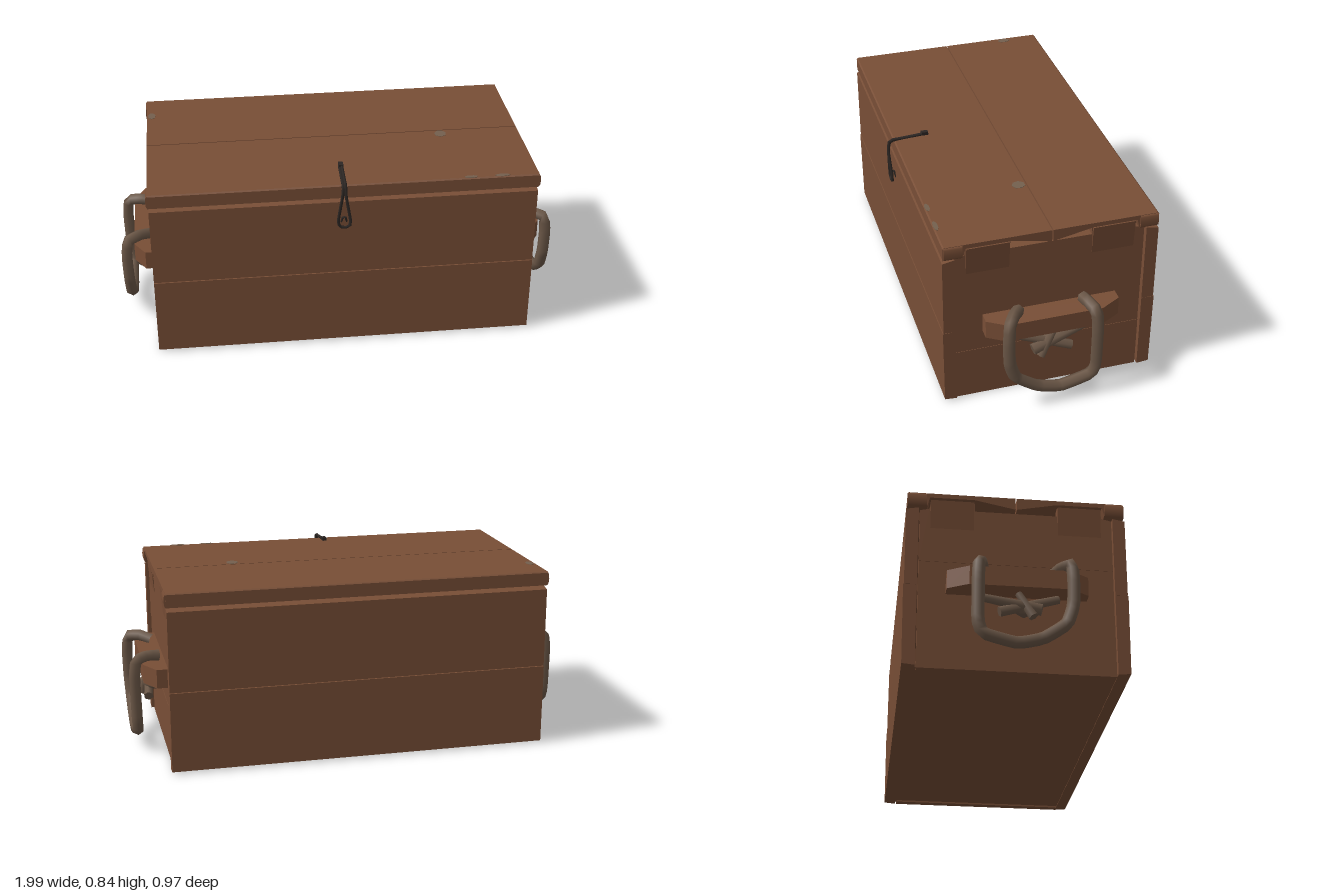
import * as THREE from 'three';

const wood = new THREE.MeshStandardMaterial({ color: 0x784e36 });
wood.name = 'brown wood';
const rope = new THREE.MeshStandardMaterial({ color: 0x6b5747 });
rope.name = 'grey rope';
const wire = new THREE.MeshStandardMaterial({ color: 0x2d2724 });
wire.name = 'dark wire';
const worn = new THREE.MeshStandardMaterial({ color: 0x74604e });
worn.name = 'worn patch';

const V = (p) => new THREE.Vector3(...p);

function add(parent, name, geometry, material) {
  const mesh = new THREE.Mesh(geometry, material);
  mesh.name = name;
  parent.add(mesh);
  return mesh;
}

// Extrude a [z, y] outline along x, centred on cx.
function extrudeX(points, width, cx = 0) {
  const shape = new THREE.Shape(points.map(([z, y]) => new THREE.Vector2(z, y)));
  const g = new THREE.ExtrudeGeometry(shape, { depth: width, bevelEnabled: false });
  return g.translate(0, 0, -width / 2).rotateY(-Math.PI / 2).translate(cx, 0, 0);
}

function box(x0, x1, y0, y1, z0, z1) {
  return new THREE.BoxGeometry(x1 - x0, y1 - y0, z1 - z0)
    .translate((x0 + x1) / 2, (y0 + y1) / 2, (z0 + z1) / 2);
}

function tube(points, radius, sides, segments) {
  const curve = new THREE.CatmullRomCurve3(points.map(V), false, 'catmullrom', 0.2);
  return new THREE.TubeGeometry(curve, segments, radius, sides);
}

// Capped straight strand between two points.
function strand(a, b, r0, r1) {
  const d = V(b).sub(V(a));
  const g = new THREE.CylinderGeometry(r1, r0, d.length(), 6);
  g.applyQuaternion(new THREE.Quaternion().setFromUnitVectors(new THREE.Vector3(0, 1, 0), d.clone().normalize()));
  return g.translate(...V(a).addScaledVector(d, 0.5).toArray());
}

// One end of the chest (the +x end): planks, battens, cleat, rope handle.
function buildEnd() {
  const end = new THREE.Group();

  // Three planks, the top one rising into two tabs under the lid
  add(end, 'lowerEndPlank', box(0.8, 0.836, 0, 0.245, -0.425, 0.397), wood);
  add(end, 'middleEndPlank', box(0.8, 0.834, 0.245, 0.49, -0.425, 0.397), wood);
  add(end, 'upperEndPlank', extrudeX([
    [-0.425, 0.49], [0.397, 0.49], [0.397, 0.735], [0.355, 0.745], [0.35, 0.782], [0.162, 0.782],
    [0.162, 0.744], [-0.192, 0.744], [-0.192, 0.782], [-0.38, 0.782], [-0.385, 0.745], [-0.425, 0.735],
  ], 0.036, 0.818), wood);

  // Tapered battens
  for (const [z0, z1] of [[0.165, 0.35], [-0.38, -0.195]]) {
    const s = new THREE.Shape([[0.83, 0.585], [0.848, 0.782], [0.83, 0.782]].map((p) => new THREE.Vector2(...p)));
    const g = new THREE.ExtrudeGeometry(s, { depth: z1 - z0, bevelEnabled: false });
    add(end, 'batten', g.translate(0, 0, z0), wood);
  }

  // Cleat with chamfered ends
  const cleat = new THREE.Shape([[0.83, -0.28], [0.885, -0.28], [0.935, -0.2], [0.935, 0.22], [0.885, 0.31], [0.83, 0.31]]
    .map((p) => new THREE.Vector2(...p)));
  const cg = new THREE.ExtrudeGeometry(cleat, { depth: 0.085, bevelEnabled: false });
  add(end, 'cleat', cg.rotateX(-Math.PI / 2).translate(0, 0.34, 0), wood);

  // Hanging rope loop
  add(end, 'ropeHandle', tube([
    [0.86, 0.435, 0.13], [0.91, 0.45, 0.165], [0.962, 0.44, 0.198], [0.972, 0.37, 0.203], [0.97, 0.25, 0.2],
    [0.966, 0.165, 0.172], [0.965, 0.095, 0.075], [0.965, 0.07, -0.03], [0.965, 0.105, -0.165],
    [0.968, 0.16, -0.188], [0.972, 0.36, -0.188], [0.962, 0.435, -0.183], [0.91, 0.45, -0.165], [0.86, 0.445, -0.155],
  ], 0.027, 6, 40), rope);

  // Knot below the cleat
  add(end, 'knotStrand', strand([0.875, 0.32, 0.155], [0.905, 0.235, -0.095], 0.018, 0.022), rope);
  add(end, 'knotStrand', strand([0.91, 0.25, 0.08], [0.875, 0.315, -0.175], 0.027, 0.018), rope);
  add(end, 'knotStrand', strand([0.915, 0.215, 0.045], [0.9, 0.325, -0.015], 0.022, 0.016), rope);
  const lump = new THREE.IcosahedronGeometry(0.045, 0).scale(0.9, 0.8, 1.1).translate(0.88, 0.265, 0.01);
  add(end, 'knot', lump, rope);
  return end;
}

export function createModel() {
  const chest = new THREE.Group();
  chest.name = 'chest';

  // Front and back walls, two planks each
  const wall = (name, inner, outer) => {
    const flip = outer < inner;
    const mid = outer + (flip ? -0.003 : 0.003);
    const planks = {
      lower: [[inner, 0.005], [outer, 0.01], [mid, 0.37], [inner, 0.37]],
      upper: [[inner, 0.37], [outer, 0.372], [outer, 0.73], [inner, 0.74]],
    };
    for (const key in planks) add(chest, `${name} ${key} plank`, extrudeX(planks[key], 1.7), wood);
  };
  wall('front', 0.4, 0.453);
  wall('back', -0.43, -0.484);

  add(chest, 'floor', box(-0.82, 0.82, 0.008, 0.035, -0.43, 0.4), wood);

  // Both ends
  for (const side of [1, -1]) {
    const end = buildEnd();
    end.name = side > 0 ? 'leftEnd' : 'rightEnd';
    end.scale.x = side;
    chest.add(end);
  }

  // Lid: two boards with a rail along the outer edge and a wedge at the seam
  const lid = new THREE.Group();
  lid.name = 'lid';
  chest.add(lid);
  add(lid, 'frontLidBoard', extrudeX([
    [0.45, 0.748], [0.45, 0.805], [0.444, 0.81], [-0.013, 0.81], [-0.013, 0.755], [0.16, 0.79], [0.355, 0.79], [0.365, 0.75],
  ], 1.706), wood);
  add(lid, 'backLidBoard', extrudeX([
    [-0.48, 0.748], [-0.48, 0.805], [-0.474, 0.81], [-0.018, 0.81], [-0.018, 0.755], [-0.192, 0.79], [-0.385, 0.79], [-0.395, 0.75],
  ], 1.706), wood);

  // Rounded rail ends
  for (const x of [-0.853, 0.853]) {
    for (const z of [0.408, -0.438]) {
      const g = new THREE.CylinderGeometry(0.03, 0.03, 0.08, 8).scale(0.25, 1, 1).rotateX(Math.PI / 2);
      add(lid, 'railEnd', g.translate(x, 0.778, z), wood);
    }
  }

  // Worn spots on the lid: x, z, half width, half depth
  for (const [x, z, w, d] of [[0.49, 0.02, 0.028, 0.03], [0.55, 0.438, 0.03, 0.011], [0.69, 0.438, 0.035, 0.011], [-0.83, -0.31, 0.018, 0.03]]) {
    const g = new THREE.CylinderGeometry(1, 1, 0.002, 7).scale(w, 1, d);
    add(lid, 'wornSpot', g.translate(x, 0.811, z), worn);
  }

  // Wire latch: a doubled strand over the lid edge, hanging in a teardrop
  add(chest, 'wireLatch', tube([
    [-0.012, 0.828, 0.3], [-0.014, 0.82, 0.42], [-0.014, 0.812, 0.468], [-0.018, 0.77, 0.477], [-0.036, 0.65, 0.472],
    [-0.03, 0.618, 0.471], [-0.008, 0.612, 0.471], [0.014, 0.618, 0.471], [0.018, 0.65, 0.472], [-0.002, 0.77, 0.48],
    [-0.004, 0.822, 0.472], [-0.004, 0.826, 0.42], [-0.002, 0.835, 0.3],
  ], 0.007, 5, 40), wire);
  add(chest, 'wireStaple', tube([
    [-0.02, 0.63, 0.45], [-0.014, 0.655, 0.458], [-0.002, 0.655, 0.458], [0.004, 0.63, 0.45],
  ], 0.005, 5, 10), wire);
  add(chest, 'wireTip', box(-0.016, 0.004, 0.828, 0.843, 0.295, 0.325), wire);

  return chest;
}
